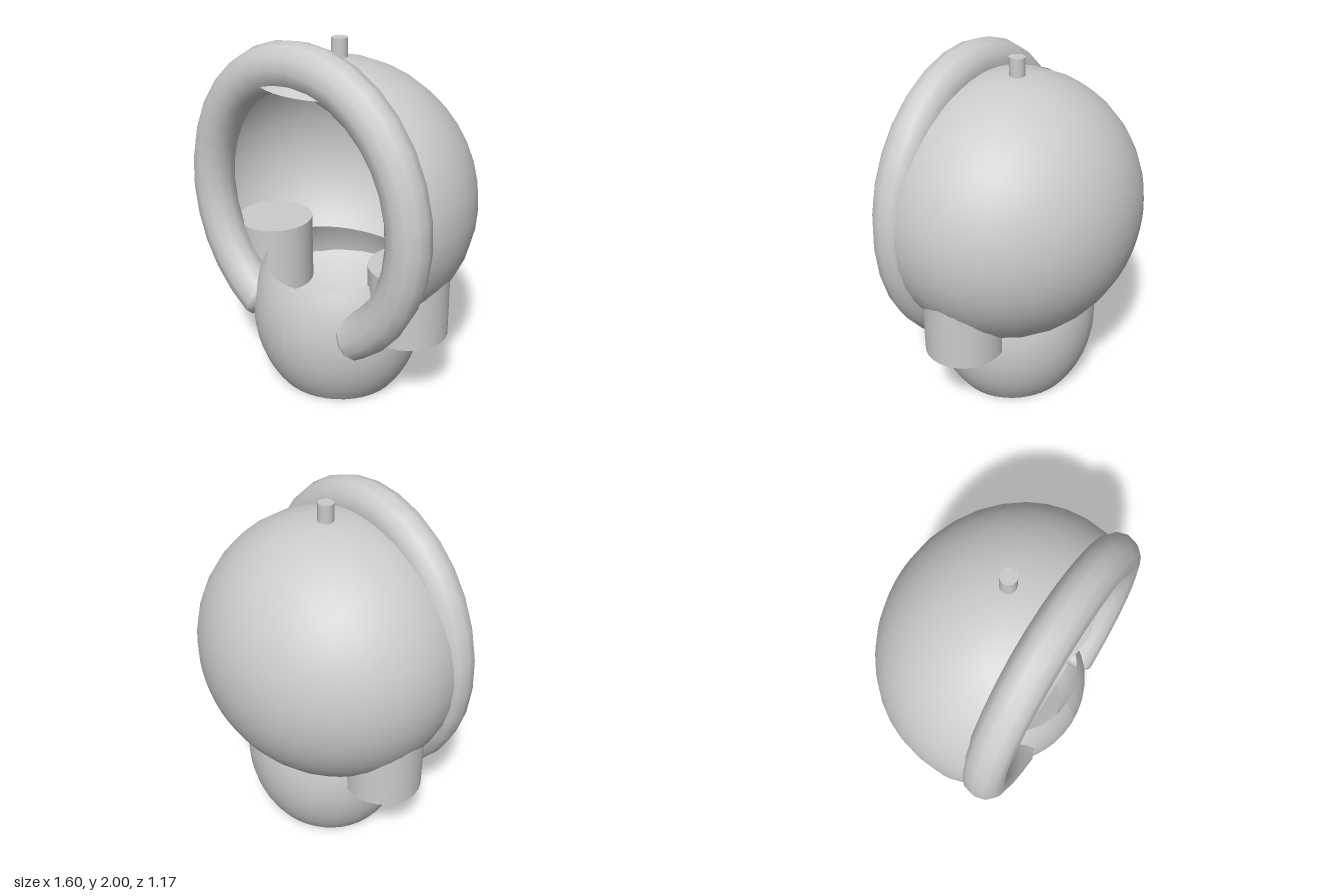
import * as THREE from 'three';

const material = new THREE.MeshStandardMaterial({ color: 0xcccccc, side: THREE.DoubleSide });

function add(parent, name, geometry, x = 0, y = 0, z = 0) {
  const mesh = new THREE.Mesh(geometry, material);
  mesh.name = name;
  mesh.position.set(x, y, z);
  parent.add(mesh);
  return mesh;
}

// Open barrel whose rim rises towards both sides
function barrelGeometry() {
  const points = [];
  for (let i = 0; i <= 14; i++) points.push(new THREE.Vector2(1, i / 14));
  const geometry = new THREE.LatheGeometry(points, 40);
  const p = geometry.attributes.position;
  for (let i = 0; i < p.count; i++) {
    const x = p.getX(i), z = p.getZ(i);
    const y = p.getY(i) * (0.7 + 0.045 * x * x);
    const r = 0.495 * Math.sqrt(1 - ((y - 0.4) / 0.58) ** 2);
    p.setXYZ(i, x * r, y, z * r * 0.94);
  }
  geometry.computeVertexNormals();
  return geometry;
}

export function createModel() {
  const model = new THREE.Group();
  model.name = 'hoodedPod';

  add(model, 'barrelBase', barrelGeometry(), 0, 0, 0.12);

  // Hood: ellipsoid cut flat at the front, with a small brow left at the top
  const hood = new THREE.Group();
  hood.name = 'hood';
  hood.position.set(0, 1.115, 0.135);
  hood.scale.set(0.795, 0.76, 0.72);
  model.add(hood);
  const cut = Math.acos(0.34);
  const shell = new THREE.SphereGeometry(1, 36, 12, 0, Math.PI * 2, cut, Math.PI - cut);
  shell.rotateX(Math.PI / 2);
  add(hood, 'hoodShell', shell);
  add(hood, 'hoodBrow', new THREE.SphereGeometry(1, 20, 6, 0, Math.PI, 0, Math.acos(0.842)));

  // Tubular collar, open at the bottom, with rounded ends
  const collar = new THREE.Group();
  collar.name = 'collar';
  collar.position.set(0, 1.115, 0.39);
  collar.scale.y = 1.106;
  model.add(collar);
  const R = 0.683, r = 0.117, start = -Math.PI / 3;
  const tube = new THREE.TorusGeometry(R, r, 12, 26, Math.PI * 5 / 3);
  tube.rotateZ(start);
  add(collar, 'collarTube', tube);
  for (const side of [1, -1]) {
    const a = side > 0 ? start : Math.PI - start;
    const end = add(collar, 'collarEnd', new THREE.SphereGeometry(r, 12, 8),
      R * Math.cos(a), R * Math.sin(a), 0);
    end.rotation.z = a;
    end.scale.y = 0.45;
  }

  // Upright side drums passing through the hood
  for (const side of [1, -1]) {
    add(model, side > 0 ? 'leftDrum' : 'rightDrum',
      new THREE.CylinderGeometry(0.22, 0.22, 0.395, 28), side * 0.49, 0.635, 0.11);
  }

  add(model, 'topPeg', new THREE.CylinderGeometry(0.044, 0.044, 0.15, 16), 0, 1.893, 0.09);
  return model;
}
